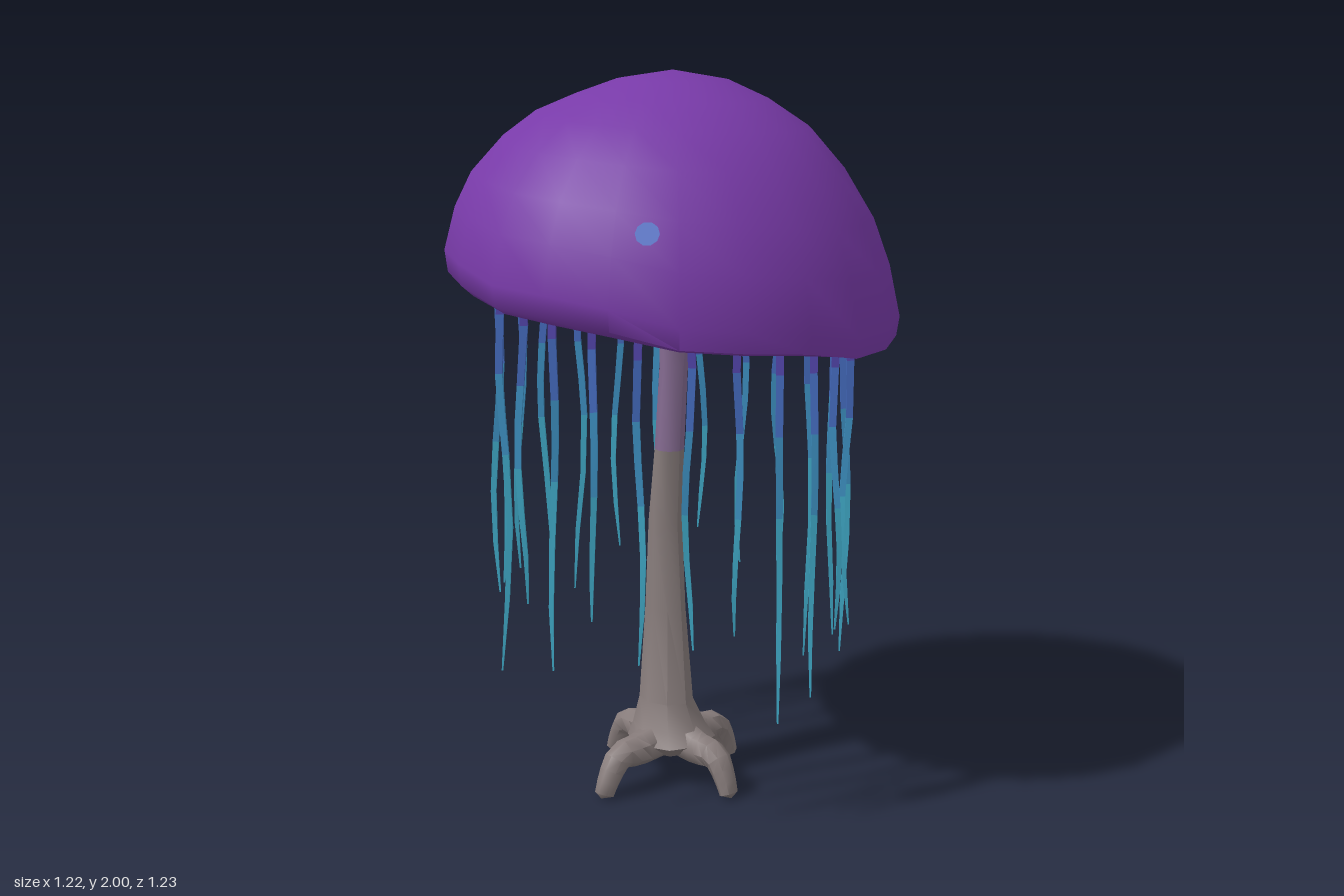
import * as THREE from 'three';
import { toCreasedNormals } from 'three/addons/utils/BufferGeometryUtils.js';

const material = (name, color, side = THREE.FrontSide) => {
  const m = new THREE.MeshStandardMaterial({ color, side });
  m.name = name;
  return m;
};

const addMesh = (parent, name, geometry, mat) => {
  const mesh = new THREE.Mesh(geometry, mat);
  mesh.name = name;
  parent.add(mesh);
  return mesh;
};

// Tube through points whose radius follows a rule of t (0 at the start, 1 at the end)
function taperedTube(points, segments, sides, radius) {
  const curve = new THREE.CatmullRomCurve3(points);
  const geo = new THREE.TubeGeometry(curve, segments, 1, sides, false);
  const pos = geo.attributes.position;
  const v = new THREE.Vector3();
  for (let i = 0; i < pos.count; i++) {
    const t = Math.floor(i / (sides + 1)) / segments;
    const c = curve.getPointAt(t);
    v.fromBufferAttribute(pos, i).sub(c).multiplyScalar(radius(t)).add(c);
    pos.setXYZ(i, v.x, Math.max(0, v.y), v.z);
  }
  return toCreasedNormals(geo, 0.9);
}

// Vertical stack of elliptical rings [radiusX, radiusZ, y, centreX], whole or part of a turn
function ringStack(rings, sides, start = 0, sweep = Math.PI * 2) {
  const profile = rings.map(([, , y]) => new THREE.Vector2(1, y));
  const geo = new THREE.LatheGeometry(profile, sides, start, sweep);
  const pos = geo.attributes.position;
  for (let i = 0; i < pos.count; i++) {
    const [rx, rz, , cx] = rings[i % rings.length];
    pos.setX(i, pos.getX(i) * rx + cx);
    pos.setZ(i, pos.getZ(i) * rz + 0.005);
  }
  return toCreasedNormals(geo, 0.8);
}

// The canopy leans down toward the left and the back
const tilt = (x, z) => (-0.07 * x + 0.06 * z) / 0.6;

function canopyGeometry() {
  const profile = [
    [0, 1.64], [0.25, 1.58], [0.38, 1.5], [0.46, 1.42], [0.52, 1.375], [0.575, 1.36],
    [0.607, 1.375], [0.615, 1.43], [0.585, 1.56], [0.54, 1.67], [0.46, 1.78],
    [0.37, 1.865], [0.26, 1.925], [0.15, 1.97], [0, 1.995],
  ].map(([x, y]) => new THREE.Vector2(x, y));
  const geo = new THREE.LatheGeometry(profile, 22);
  const pos = geo.attributes.position;
  for (let i = 0; i < pos.count; i++) {
    const x = pos.getX(i), z = pos.getZ(i), r = Math.hypot(x, z), a = Math.atan2(z, x);
    const edge = Math.pow(r / 0.61, 2);
    const lip = Math.pow(r / 0.61, 8);
    pos.setY(i, pos.getY(i) + tilt(x, z) * edge + lip * 0.01 * Math.sin(7 * a));
  }
  return toCreasedNormals(geo, 1.1);
}

export function createModel() {
  const model = new THREE.Group();
  model.name = 'jellyfishTree';

  const purple = material('canopy purple', 0x783aa8);
  const bark = material('bark grey', 0x877c7b);
  const mauve = material('bark mauve', 0x866c92);
  const plum = material('bark plum', 0x7e529c);
  const violet = material('strand violet', 0x5446ae, THREE.DoubleSide);
  const blue = material('strand blue', 0x456cc0, THREE.DoubleSide);
  const azure = material('strand azure', 0x3e92c4, THREE.DoubleSide);
  const teal = material('strand teal', 0x40aac8, THREE.DoubleSide);
  const spotBlue = material('spot blue', 0x4a6cc6);

  // Canopy: hollow, tilted cap with a thick lip
  addMesh(model, 'canopy', canopyGeometry(), purple);

  // Small round spot laid on the canopy
  const spot = addMesh(model, 'spot', new THREE.CircleGeometry(0.031, 10), spotBlue);
  spot.position.set(0.37, 1.632, 0.422);
  spot.lookAt(0.37 + 0.53, 1.632 + 0.42, 0.422 + 0.6);

  // Trunk: grey lower length and mauve upper length
  addMesh(model, 'lowerTrunk', ringStack([
    [0.001, 0.001, 0.06, 0], [0.08, 0.08, 0.085, 0], [0.125, 0.125, 0.12, 0],
    [0.105, 0.1, 0.16, -0.01], [0.083, 0.07, 0.23, -0.022], [0.066, 0.048, 0.5, -0.025],
    [0.05, 0.044, 0.75, -0.025], [0.042, 0.04, 0.96, -0.008],
  ], 8), bark);
  addMesh(model, 'upperTrunk', ringStack([
    [0.042, 0.04, 0.96, -0.008], [0.04, 0.038, 1.2, 0.01], [0.043, 0.04, 1.28, 0.015],
  ], 8), mauve);

  // Flare under the canopy: grey and plum quarters in turn
  const flare = [
    [0.043, 0.04, 1.28, 0.015], [0.062, 0.05, 1.41, 0.02], [0.085, 0.07, 1.47, 0.02],
    [0.11, 0.09, 1.54, 0.02], [0.14, 0.12, 1.62, 0.02],
  ];
  for (let i = 0; i < 4; i++) {
    const quarter = ringStack(flare, 2, (i * Math.PI) / 2, Math.PI / 2);
    addMesh(model, 'trunkFlare', quarter, i % 2 ? bark : plum);
  }

  // Four bent roots of slightly different reach, with closed feet
  const rootPath = [[0.02, 0.13], [0.12, 0.11], [0.195, 0.105], [0.235, 0.05], [0.264, -0.02]]
    .map(([x, y]) => new THREE.Vector3(x, y, 0));
  const rootGeo = taperedTube(rootPath, 10, 7, (t) => (t > 0.99 ? 0 : 0.058 - 0.034 * t));
  [0.92, 0.88, 0.99, 1.02].forEach((reach, i) => {
    const root = addMesh(model, 'root', rootGeo, bark);
    root.rotation.y = (i * Math.PI) / 2;
    root.scale.x = reach;
  });

  // Ring of hanging strands, each coloured in four lengths; listed by lower end
  const ends = [
    0.31, 0.57, 0.54, 0.5, 0.6, 0.45, 0.6, 0.37, 0.56, 0.55, 0.55, 0.45,
    0.43, 0.55, 0.4, 0.6, 0.5, 0.6, 0.26, 0.36, 0.36, 0.48, 0.5, 0.35,
  ];
  const strands = new THREE.Group();
  strands.name = 'strands';
  model.add(strands);
  ends.forEach((end, k) => {
    const a = ((7.5 + 15 * k) * Math.PI) / 180;
    const top = 1.46 + tilt(0.48 * Math.cos(a), 0.48 * Math.sin(a));
    const at = (y) => {
      const u = (top - y) / (top - end);
      const sway = 0.011 * Math.sin(u * 7 + k * 1.9) * Math.min(1, u * 4);
      const r = 0.477 + 0.01 * u + 0.012 * Math.sin(u * 7 + k * 2.7) * Math.min(1, u * 4);
      return new THREE.Vector3(
        r * Math.cos(a) - sway * Math.sin(a), y, r * Math.sin(a) + sway * Math.cos(a));
    };
    const radius = (y) => 0.003 + 0.012 * Math.pow((y - end) / (top - end), 0.4);
    const cuts = [top, top - 0.16, top - 0.32, top - 0.54, end];
    [violet, blue, azure, teal].forEach((mat, s) => {
      const y0 = cuts[s], y1 = cuts[s + 1], n = [1, 1, 2, 3][s];
      const path = Array.from({ length: n + 1 }, (_, i) => at(y0 + ((y1 - y0) * i) / n));
      const geo = taperedTube(path, n, 4, (t) => radius(Math.max(end, y0 + (y1 - y0) * t)));
      addMesh(strands, 'strand', geo, mat);
    });
  });

  return model;
}
